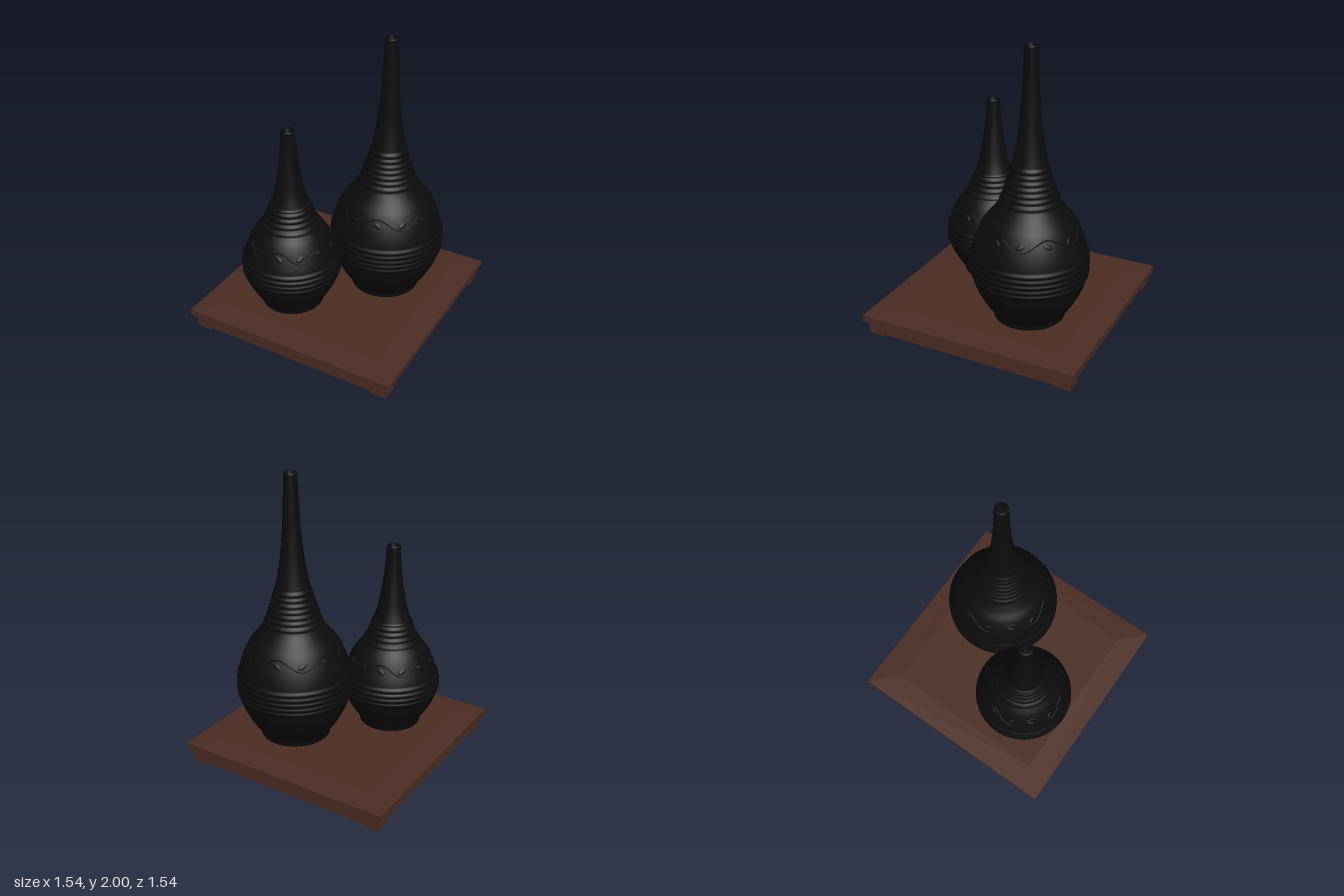
import * as THREE from 'three';

const black = new THREE.MeshStandardMaterial({ color: 0x0c0c0d });
black.name = 'black lacquer';
const brown = new THREE.MeshStandardMaterial({ color: 0x4c2d23 });
brown.name = 'dark brown wood';

function add(parent, name, geometry, material, x = 0, y = 0, z = 0) {
  const mesh = new THREE.Mesh(geometry, material);
  mesh.name = name;
  mesh.position.set(x, y, z);
  parent.add(mesh);
  return mesh;
}

// Gourd vase: smooth profile, bands of raised rings, hollow mouth, vine relief
function makeVase(name, outline, bands, vineY) {
  const vase = new THREE.Group();
  vase.name = name;
  const curve = new THREE.SplineCurve(outline.map(([r, y]) => new THREE.Vector2(r, y)));
  const profile = curve.getSpacedPoints(280);
  const radiusAt = (y) => {
    const i = Math.max(1, profile.findIndex((p) => p.y >= y));
    return profile[i].x;
  };

  const [topR, topY] = outline[outline.length - 1];
  const ringed = profile.map((p) => {
    const band = bands.find(([lo, hi]) => p.y > lo && p.y < hi);
    const bump = band ? 0.008 * Math.abs(Math.sin(((p.y - band[0]) / 0.036) * Math.PI)) : 0;
    return new THREE.Vector2(p.x + bump, p.y);
  });
  const body = [
    new THREE.Vector2(0, outline[0][1]),
    ...ringed,
    new THREE.Vector2(topR - 0.006, topY + 0.006),
    new THREE.Vector2(topR - 0.014, topY + 0.004),
    new THREE.Vector2(topR - 0.018, topY - 0.06),
    new THREE.Vector2(0, topY - 0.06),
  ];
  add(vase, 'vaseBody', new THREE.LatheGeometry(body, 72), black);

  // Wavy vine half sunk in the shoulder, with flattened leaves
  const onSurface = (a, y) => {
    const r = radiusAt(y) - 0.001;
    return new THREE.Vector3(Math.sin(a) * r, y, Math.cos(a) * r);
  };
  const vinePoints = [];
  for (let i = 0; i < 72; i++) {
    const a = (i / 72) * Math.PI * 2;
    vinePoints.push(onSurface(a, vineY + 0.035 * Math.sin(a * 6)));
  }
  const vine = new THREE.CatmullRomCurve3(vinePoints, true);
  add(vase, 'vineRelief', new THREE.TubeGeometry(vine, 216, 0.005, 6, true), black);
  for (let i = 0; i < 12; i++) {
    const a = ((i + 0.5) / 12) * Math.PI * 2;
    const leaf = add(vase, 'leafRelief', new THREE.SphereGeometry(1, 12, 8), black);
    leaf.position.copy(onSurface(a, vineY));
    leaf.scale.set(0.035, 0.018, 0.008);
    leaf.rotation.set(-0.6, a, i % 2 ? 0.6 : -0.6, 'YXZ');
  }
  return vase;
}

// Square stand: tapered top board, recessed apron and corner blocks
function makeStand() {
  const stand = new THREE.Group();
  stand.name = 'stand';
  const rise = new THREE.CylinderGeometry(0.6 * Math.SQRT2, 0.77 * Math.SQRT2, 0.01, 4, 1, true);
  rise.rotateY(Math.PI / 4);
  add(stand, 'boardBevel', rise.toNonIndexed(), brown, 0, 0.147, 0).geometry.computeVertexNormals();
  add(stand, 'boardTop', new THREE.BoxGeometry(1.2, 0.01, 1.2), brown, 0, 0.147, 0);
  add(stand, 'board', new THREE.BoxGeometry(1.54, 0.042, 1.54), brown, 0, 0.121, 0);
  add(stand, 'apron', new THREE.BoxGeometry(1.45, 0.1, 1.45), brown, 0, 0.052, 0);
  for (const x of [-1, 1]) {
    for (const z of [-1, 1]) {
      add(stand, 'cornerBlock', new THREE.BoxGeometry(0.11, 0.1, 0.11), brown, x * 0.685, 0.05, z * 0.685);
    }
  }
  return stand;
}

export function createModel() {
  const model = new THREE.Group();
  model.name = 'vasesOnStand';
  model.add(makeStand());

  const tall = makeVase('tallVase', [
    [0.24, 0.15], [0.245, 0.19], [0.29, 0.25], [0.345, 0.35], [0.378, 0.44], [0.388, 0.53],
    [0.38, 0.64], [0.348, 0.75], [0.298, 0.85], [0.24, 0.92], [0.19, 1.0], [0.155, 1.1],
    [0.122, 1.21], [0.087, 1.39], [0.063, 1.6], [0.051, 1.8], [0.044, 1.994],
  ], [[0.46, 0.64], [0.98, 1.23]], 0.8);
  tall.position.set(0.235, 0, -0.222);
  model.add(tall);

  const short = makeVase('shortVase', [
    [0.215, 0.15], [0.225, 0.19], [0.28, 0.28], [0.322, 0.37], [0.335, 0.46], [0.32, 0.55],
    [0.285, 0.64], [0.243, 0.72], [0.18, 0.8], [0.142, 0.89], [0.106, 1.0], [0.082, 1.12],
    [0.063, 1.24], [0.052, 1.35], [0.046, 1.454],
  ], [[0.4, 0.545], [0.77, 0.93]], 0.65);
  short.position.set(-0.232, 0, 0.288);
  model.add(short);
  return model;
}
